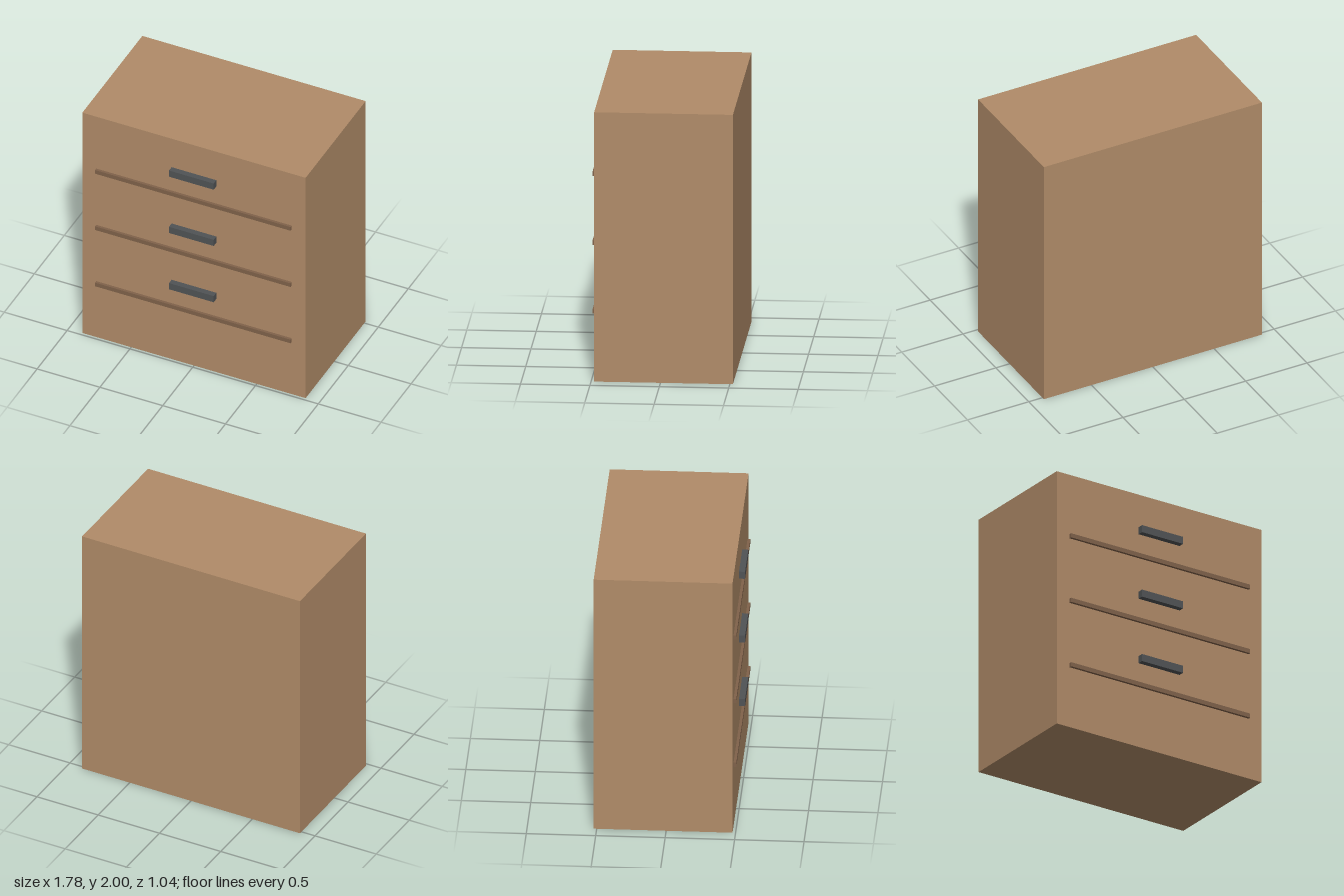
import * as THREE from 'three';

const material = (name, color) => {
  const m = new THREE.MeshStandardMaterial({ color });
  m.name = name;
  return m;
};

export function createModel() {
  const wood = material('wood', 0xb08b68);
  const darkWood = material('darkWood', 0x80624a);
  const metal = material('metal', 0x505355);
  const model = new THREE.Group();
  model.name = 'chestOfDrawers';

  const frontZ = 0.478;

  // Box with its back face resting at z = back
  const addBox = (name, mat, w, h, d, y, back) => {
    const mesh = new THREE.Mesh(new THREE.BoxGeometry(w, h, d), mat);
    mesh.name = name;
    mesh.position.set(0, y, back + d / 2);
    model.add(mesh);
  };

  // Solid cabinet body
  addBox('cabinet', wood, 1.778, 2, 1, 1, frontZ - 1);

  // Three drawers: a handle above each divider strip
  for (let i = 0; i < 3; i++) {
    const y = 0.491 + i * 0.511;
    addBox(`dividerStrip${i + 1}`, darkWood, 1.556, 0.033, 0.02, y, frontZ);
    addBox(`handle${i + 1}`, metal, 0.356, 0.056, 0.044, y + 0.201, frontZ);
  }
  return model;
}
